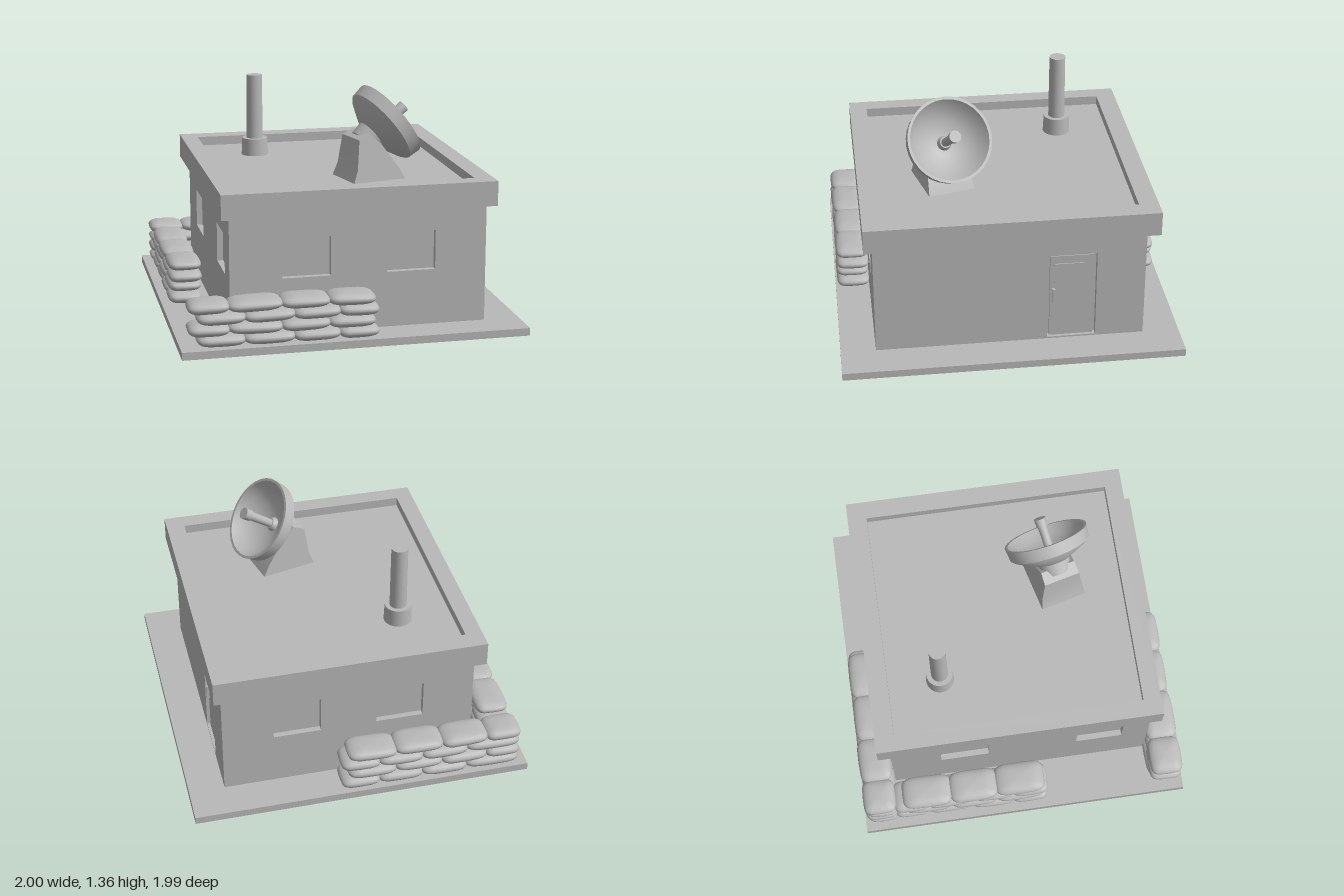
import * as THREE from 'three';
import { mergeVertices, toCreasedNormals } from 'three/addons/utils/BufferGeometryUtils.js';

const concrete = new THREE.MeshStandardMaterial({ color: 0xb8b8b8 });
concrete.name = 'concrete grey';

function add(parent, name, geometry, x = 0, y = 0, z = 0) {
  const mesh = new THREE.Mesh(geometry, concrete);
  mesh.name = name;
  mesh.position.set(x, y, z);
  parent.add(mesh);
  return mesh;
}

// Box given by its lower and upper limits
function block(parent, name, x0, x1, y0, y1, z0, z1) {
  return add(parent, name, new THREE.BoxGeometry(x1 - x0, y1 - y0, z1 - z0),
    (x0 + x1) / 2, (y0 + y1) / 2, (z0 + z1) / 2);
}

// Rectangle path, used for outlines and for openings
function rect(path, x0, x1, y0, y1) {
  path.moveTo(x0, y0);
  path.lineTo(x1, y0);
  path.lineTo(x1, y1);
  path.lineTo(x0, y1);
  path.closePath();
  return path;
}

function plate(outline, holes, depth) {
  const shape = rect(new THREE.Shape(), ...outline);
  holes.forEach((h) => shape.holes.push(rect(new THREE.Path(), ...h)));
  return new THREE.ExtrudeGeometry(shape, { depth, bevelEnabled: false });
}

// Pillow: a sphere squared off in plan and pinched to a seam
function pillowGeometry() {
  const g = new THREE.SphereGeometry(1, 20, 10);
  g.deleteAttribute('uv');
  g.deleteAttribute('normal');
  const p = g.attributes.position;
  const power = (v, e) => Math.sign(v) * Math.pow(Math.abs(v), e);
  for (let i = 0; i < p.count; i++) {
    const x = p.getX(i), y = p.getY(i), z = p.getZ(i);
    const r = Math.hypot(x, z);
    if (r < 1e-5) continue;
    const out = Math.pow(r, 0.65);
    p.setXYZ(i, power(x / r, 0.45) * out, y, power(z / r, 0.45) * out);
  }
  const merged = mergeVertices(g, 1e-4);
  merged.computeVertexNormals();
  return merged;
}

function buildSandbags(group) {
  const pillow = pillowGeometry();
  let seed = 7;
  const jitter = () => {
    seed = (seed * 16807) % 2147483647;
    return seed / 2147483647 - 0.5;
  };
  // Each run is a list of cuts along x or z, alternating between courses
  const runs = [
    { name: 'frontSandbag', along: 'x', centre: 0.885,
      cuts: [[-0.95, -0.9, -0.64, -0.36, -0.1, 0.12], [-0.95, -0.73, -0.43, -0.16, 0.1]] },
    { name: 'backSandbag', along: 'x', centre: -0.885,
      cuts: [[-0.95, -0.63, -0.36, -0.1, 0.12], [-0.95, -0.75, -0.48, -0.2, 0.08]] },
    { name: 'sideSandbag', along: 'z', centre: -0.855,
      cuts: [[-0.8, -0.6, -0.32, -0.07, 0.14], [-0.74, -0.45, -0.17, 0.12]] },
  ];
  for (const run of runs) {
    for (let row = 0; row < 4; row++) {
      const cuts = run.cuts[row % 2];
      for (let i = 0; i + 1 < cuts.length; i++) {
        const length = cuts[i + 1] - cuts[i];
        if (length < 0.1) continue;
        const mid = (cuts[i] + cuts[i + 1]) / 2;
        const alongX = run.along === 'x';
        const side = run.centre + jitter() * 0.008;
        const bag = add(group, run.name, pillow, alongX ? mid : side,
          0.08 + row * 0.064, alongX ? side : mid);
        bag.scale.set(length / 2 + 0.008, 0.038, 0.1);
        bag.rotation.set(0, (alongX ? 0 : Math.PI / 2) + jitter() * 0.04, jitter() * 0.05);
      }
    }
  }
}

function buildDish(group) {
  const facing = new THREE.Vector3(0.78, 0.58, -0.2).normalize();

  // Pedestal: side profile extruded and tapered towards the top
  const side = new THREE.Shape([[-0.17, 0.82], [0.17, 0.82], [0.13, 0.89], [0.02, 1.04],
    [-0.05, 1.1], [-0.12, 1.07], [-0.14, 0.9]].map(([x, y]) => new THREE.Vector2(x, y)));
  const geo = new THREE.ExtrudeGeometry(side, { depth: 0.28, bevelEnabled: false });
  geo.translate(0, 0, -0.14);
  const p = geo.attributes.position;
  for (let i = 0; i < p.count; i++) p.setZ(i, p.getZ(i) * (1 - (p.getY(i) - 0.82) * 0.9));
  const pedestal = add(group, 'dishPedestal', toCreasedNormals(geo, 0.6), 0.21, 0, 0.335);
  pedestal.rotation.y = 0.24;

  // Everything below is built along +y and turned to the facing direction
  const head = new THREE.Group();
  head.name = 'dishHead';
  head.position.set(0.345, 1.16, 0.3);
  head.quaternion.setFromUnitVectors(new THREE.Vector3(0, 1, 0), facing);
  group.add(head);

  const profile = [[0, -0.165], [0.09, -0.16], [0.16, -0.125], [0.225, -0.09], [0.243, -0.075],
    [0.252, 0], [0.236, 0], [0.2, -0.055], [0.14, -0.1], [0.07, -0.125], [0, -0.13]];
  const bowl = new THREE.LatheGeometry(profile.map(([r, y]) => new THREE.Vector2(r, y)), 32);
  add(head, 'dishBowl', toCreasedNormals(bowl, 0.7));
  add(head, 'dishNeck', new THREE.CylinderGeometry(0.1, 0.085, 0.09, 20), 0, -0.185, 0);
  add(head, 'feedBase', new THREE.CylinderGeometry(0.032, 0.045, 0.03, 16), 0, -0.115, 0);
  add(head, 'feedArm', new THREE.CylinderGeometry(0.027, 0.025, 0.2, 16), 0, -0.03, 0);
  add(head, 'feedHorn', new THREE.CylinderGeometry(0.035, 0.033, 0.05, 16), 0, 0.085, 0);
}

export function createModel() {
  const model = new THREE.Group();
  model.name = 'guardBunker';

  block(model, 'groundSlab', -1, 1, 0, 0.045, -0.995, 0.995);

  // Walls: pierced panels around a core that closes the window recesses
  block(model, 'wallCore', -0.665, 0.755, 0.045, 0.74, -0.745, 0.755);
  const lowHigh = [0.37, 0.6];
  const walls = [
    ['frontWall', 0, 0, 0.755, [-0.7, 0.79], [[-0.4, -0.12], [0.21, 0.49]]],
    ['backWall', Math.PI, 0, -0.745, [-0.79, 0.7], [[-0.49, -0.21], [0.12, 0.4]]],
    ['windowedSideWall', -Math.PI / 2, -0.665, 0, [-0.78, 0.79], [[-0.48, -0.19], [0.35, 0.63]]],
  ];
  for (const [name, turn, x, z, span, windows] of walls) {
    const holes = windows.map((w) => [...w, ...lowHigh]);
    add(model, name, plate([...span, 0.04, 0.74], holes, 0.035), x, 0, z).rotation.y = turn;
  }
  add(model, 'doorWall', plate([-0.79, 0.78, 0.04, 0.74], [[0.21, 0.495, 0.055, 0.61]], 0.035),
    0.755, 0, 0).rotation.y = Math.PI / 2;

  // Door with glazing panel and handle
  block(model, 'doorLeaf', 0.75, 0.772, 0.055, 0.595, -0.48, -0.225);
  block(model, 'doorPanel', 0.77, 0.778, 0.42, 0.545, -0.425, -0.25);
  block(model, 'doorHandle', 0.77, 0.79, 0.29, 0.38, -0.255, -0.238);

  // Roof rim with sunken deck
  const rim = add(model, 'roofRim',
    plate([-0.75, 0.84, -0.84, 0.85], [[-0.65, 0.73, -0.735, 0.735]], 0.145), 0, 0.735, 0);
  rim.rotation.x = -Math.PI / 2;
  block(model, 'roofDeck', -0.66, 0.74, 0.736, 0.825, -0.745, 0.745);

  // Mast
  add(model, 'mastCollar', new THREE.CylinderGeometry(0.078, 0.083, 0.11, 24), -0.335, 0.875, -0.425);
  add(model, 'mast', new THREE.CylinderGeometry(0.048, 0.05, 0.4, 24), -0.335, 1.125, -0.425);

  const dish = new THREE.Group();
  dish.name = 'satelliteDish';
  buildDish(dish);
  model.add(dish);

  const bags = new THREE.Group();
  bags.name = 'sandbagWall';
  buildSandbags(bags);
  model.add(bags);

  return model;
}
